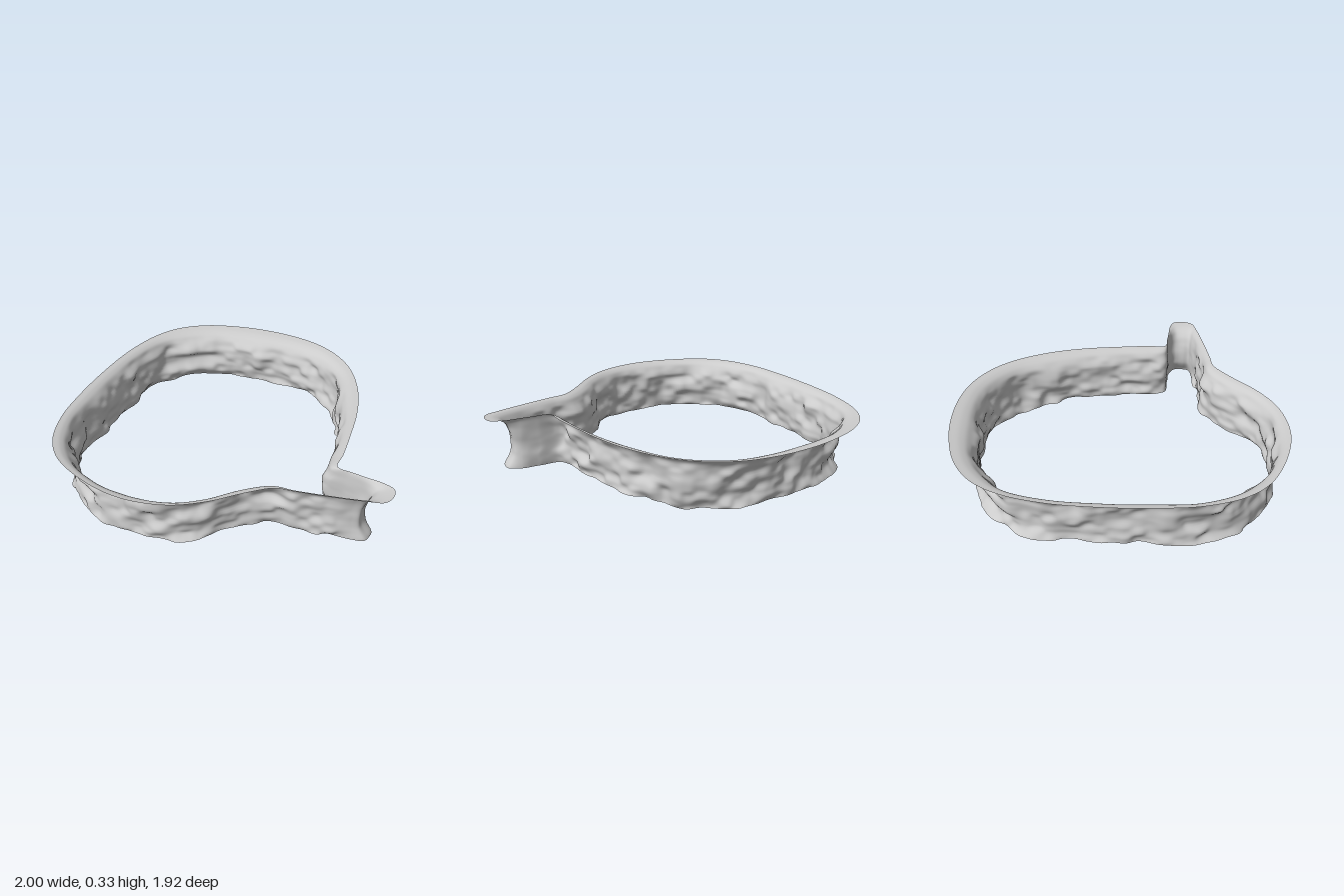
import * as THREE from 'three';

// Plan of the band, one station per row: rim x, rim z, wall x, wall z
const STATIONS = [
  [-0.2, -0.965, -0.2, -0.82], [0.02, -0.95, 0, -0.82], [0.2, -0.9, 0.17, -0.79],
  [0.36, -0.8, 0.3, -0.71], [0.48, -0.66, 0.41, -0.59], [0.58, -0.44, 0.48, -0.4],
  [0.63, -0.22, 0.54, -0.2], [0.65, 0, 0.575, 0], [0.66, 0.2, 0.58, 0.2],
  [0.66, 0.31, 0.6, 0.31], [0.75, 0.33, 0.72, 0.335], [0.84, 0.345, 0.82, 0.36],
  [0.93, 0.36, 0.855, 0.385], [0.99, 0.39, 0.865, 0.41], [1, 0.45, 0.86, 0.45],
  [0.97, 0.51, 0.85, 0.485], [0.88, 0.535, 0.8, 0.5], [0.7, 0.565, 0.67, 0.52],
  [0.5, 0.59, 0.5, 0.54], [0.4, 0.6, 0.36, 0.54], [0.28, 0.68, 0.23, 0.61],
  [0.1, 0.83, 0.06, 0.77], [-0.08, 0.925, -0.08, 0.85], [-0.32, 0.958, -0.31, 0.875],
  [-0.55, 0.91, -0.52, 0.84], [-0.8, 0.78, -0.74, 0.71], [-0.92, 0.63, -0.85, 0.56],
  [-0.985, 0.42, -0.91, 0.37], [-1, 0.2, -0.91, 0.17], [-0.99, -0.1, -0.9, -0.1],
  [-0.95, -0.4, -0.865, -0.38], [-0.87, -0.64, -0.79, -0.59], [-0.76, -0.79, -0.68, -0.69],
  [-0.6, -0.89, -0.55, -0.77], [-0.4, -0.945, -0.38, -0.81],
];

// Upright section: share of the way from wall to rim, and height
const SECTION = [[0, 0.015], [-0.07, 0.06], [-0.1, 0.12], [-0.08, 0.19],
  [0.02, 0.25], [0.24, 0.295], [0.54, 0.318], [1, 0.33]];

const closedCurve = (ix, iz) => new THREE.CatmullRomCurve3(
  STATIONS.map((s) => new THREE.Vector3(s[ix], 0, s[iz])), true);

// Seeded value for a lattice point, -1 to 1
function lattice(i, j) {
  const h = Math.sin(i * 127.1 + j * 311.7) * 43758.5453;
  return 2 * (h - Math.floor(h)) - 1;
}

// Smooth noise that closes on itself after the given number of cells
function noise(u, v, cells) {
  const i = Math.floor(u), j = Math.floor(v);
  const fu = THREE.MathUtils.smootherstep(u - i, 0, 1);
  const fv = THREE.MathUtils.smootherstep(v - j, 0, 1);
  const row = (k) => THREE.MathUtils.lerp(lattice(i % cells, k), lattice((i + 1) % cells, k), fu);
  return THREE.MathUtils.lerp(row(j), row(j + 1), fv);
}

// Irregular creases, s runs from 0 to 1 around the band
function crumple(s, y) {
  return noise(s * 46, y * 13 + 5, 46) + 0.5 * noise(s * 85, y * 24 + 40, 85);
}

function bandGeometry(around, rows) {
  const rim = closedCurve(0, 1), wall = closedCurve(2, 3);
  const section = new THREE.CatmullRomCurve3(SECTION.map(([t, y]) => new THREE.Vector3(t, y, 0)))
    .getPoints(rows);
  const length = wall.getLength();
  const pos = [], index = [];
  const last = wall.getPoint(0);
  let s = 0;
  for (let i = 0; i < around; i++) {
    const a = wall.getPoint(i / around), b = rim.getPoint(i / around);
    s += a.distanceTo(last) / length;
    last.copy(a);
    const out = b.clone().sub(a).normalize();
    // The end of the spout is smooth and splays out more at its foot
    const spout = THREE.MathUtils.smoothstep(a.x, 0.65, 0.85);
    const dip = 0.015 * Math.exp(-(((a.x - 0.38) ** 2 + (a.z + 0.61) ** 2) / 0.006));
    section.forEach(({ x: t, y }) => {
      const foot = 1 - THREE.MathUtils.smoothstep(y, 0.015, 0.1);
      const fade = 1 - THREE.MathUtils.smoothstep(y, 0.23, 0.32);
      const p = a.clone().lerp(b, t + 0.25 * spout * foot);
      p.addScaledVector(out, 0.022 * crumple(s, y) * fade * (1 - 0.75 * spout));
      pos.push(p.x, y - dip * foot, p.z);
    });
  }
  const n = rows + 1;
  for (let i = 0; i < around; i++) {
    const j = (i + 1) % around;
    for (let r = 0; r < rows; r++) {
      const a = i * n + r, b = j * n + r;
      index.push(a, a + 1, b, b, a + 1, b + 1);
    }
  }
  const geo = new THREE.BufferGeometry();
  geo.setAttribute('position', new THREE.Float32BufferAttribute(pos, 3));
  geo.setIndex(index);
  geo.computeVertexNormals();
  return geo;
}

export function createModel() {
  const group = new THREE.Group();
  group.name = 'flaredBand';
  const band = new THREE.Mesh(bandGeometry(560, 40),
    new THREE.MeshStandardMaterial({ color: 0xcccccc, side: THREE.DoubleSide }));
  band.name = 'crumpledWallWithRim';
  group.add(band);
  return group;
}
